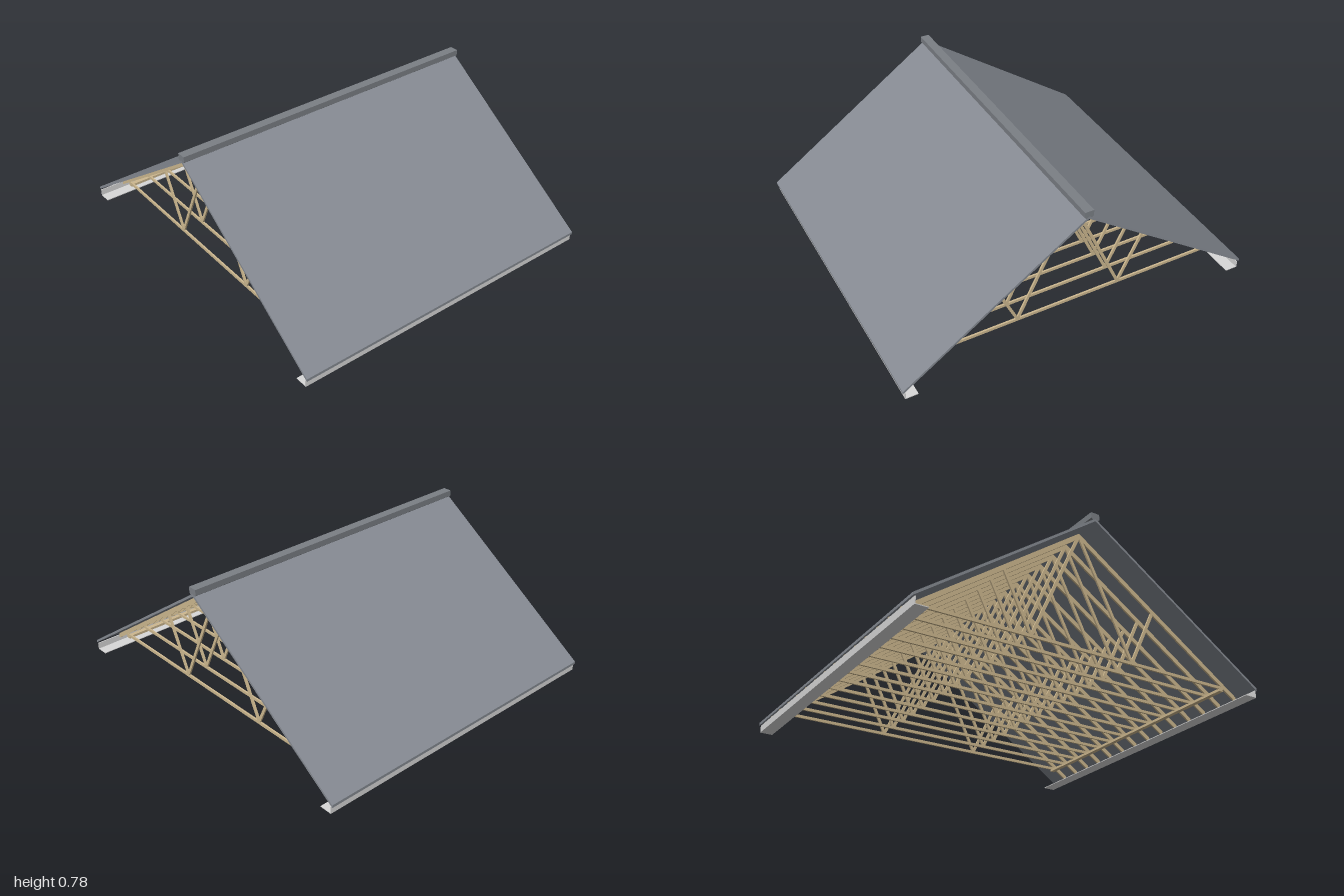
import * as THREE from 'three';

const HALF = 0.915;          // half length of the roof along x
const EDGE = 0.77;           // x of the outermost trusses
const COUNT = 14;            // number of trusses
const T = 0.01;              // timber thickness along x

const mat = (name, color) => {
  const m = new THREE.MeshStandardMaterial({ color });
  m.name = name;
  return m;
};

// Solid with a (z, y) outline, running along x and centred on x = 0
function prism(points, length) {
  const shape = new THREE.Shape(points.map(([z, y]) => new THREE.Vector2(-z, y)));
  const g = new THREE.ExtrudeGeometry(shape, { depth: length, bevelEnabled: false });
  g.translate(0, 0, -length / 2);
  g.rotateY(Math.PI / 2);
  return g;
}

// Straight timber between two (z, y) points
function strut([z0, y0], [z1, y1], w) {
  const dz = z1 - z0, dy = y1 - y0, len = Math.hypot(dz, dy);
  const g = new THREE.BoxGeometry(T, w, len);
  g.rotateX(-Math.atan2(dy, dz));
  g.translate(0, (y0 + y1) / 2, (z0 + z1) / 2);
  return g;
}

export function createModel() {
  const roof = mat('slate grey', 0x868b93);
  const cap = mat('ridge grey', 0x7b7f85);
  const trim = mat('pale trim', 0xd8d8d8);
  const wood = mat('timber', 0xcdb88f);

  const model = new THREE.Group();
  model.name = 'trussRoof';
  const add = (parent, name, geometry, material) => {
    const m = new THREE.Mesh(geometry, material);
    m.name = name;
    parent.add(m);
    return m;
  };

  // Roof slopes, eaves trim and wall plates, front and back
  for (const s of [1, -1]) {
    const side = s > 0 ? 'front' : 'back';
    add(model, side + 'Slope', prism([[0, 0.75], [s, 0.055], [s, 0.04], [0, 0.735]], 2 * HALF), roof);

    const fascia = add(model, side + 'Fascia', new THREE.BoxGeometry(2 * HALF, 0.04, 0.005), trim);
    fascia.position.set(0, 0.02, s * 0.9875);
    const soffit = add(model, side + 'Soffit', new THREE.BoxGeometry(2 * HALF, 0.004, 0.068), trim);
    soffit.position.set(0, 0.002, s * 0.954);

    const plate = add(model, side + 'WallPlate', new THREE.BoxGeometry(2 * EDGE + T, 0.014, 0.025), wood);
    plate.position.set(0, 0.07, s * 0.885);
  }

  // Ridge cap sitting over the apex
  add(model, 'ridgeCap', prism(
    [[-0.025, 0.78], [0.025, 0.78], [0.025, 0.748], [0.012, 0.738], [-0.012, 0.738], [-0.025, 0.748]],
    2 * HALF), cap);

  // Shared timber shapes of one truss
  const parts = [['bottomChord', strut([-0.9, 0.083], [0.9, 0.083], 0.016)]];
  for (const s of [1, -1]) {
    parts.push(
      ['rafter', prism([[0, 0.735], [s * 0.985, 0.05], [s * 0.985, 0.021], [0, 0.704]], T)],
      ['longWeb', strut([s * 0.3, 0.085], [s * 0.005, 0.71], 0.016)],
      ['shortWeb', strut([s * 0.3, 0.085], [s * 0.452, 0.405], 0.016)]);
  }

  // Row of trusses
  for (let i = 0; i < COUNT; i++) {
    const truss = new THREE.Group();
    truss.name = 'truss' + (i + 1);
    truss.position.x = -EDGE + (2 * EDGE * i) / (COUNT - 1);
    for (const [name, g] of parts) add(truss, name, g, wood);
    model.add(truss);
  }
  return model;
}
